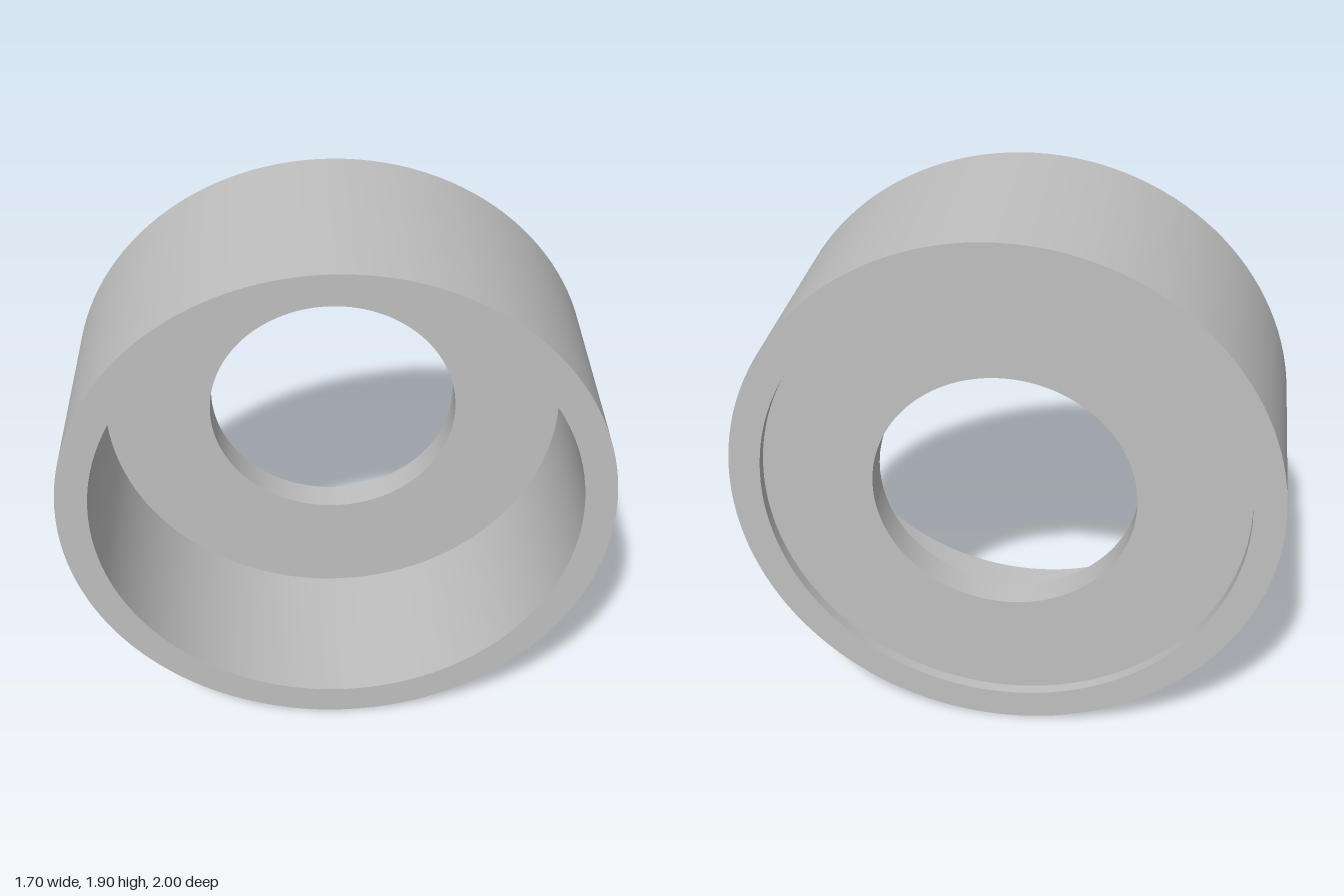
import * as THREE from 'three';
import { toCreasedNormals } from 'three/addons/utils/BufferGeometryUtils.js';

export function createModel() {
  const group = new THREE.Group();
  group.name = 'flangedRing';
  const grey = new THREE.MeshStandardMaterial({ color: 0xc0c0c0 });
  grey.name = 'plain grey';

  const outer = 0.95, inner = 0.84, bore = 0.455;
  const half = 0.381;                      // half the width along the axis
  const webFront = -0.228, webBack = -0.341;

  // Closed cross-section: outer wall, front rim, deep recess, web with bore, shallow back recess
  const profile = [
    [outer, -half], [outer, half],
    [inner, half], [inner, webFront],
    [bore, webFront], [bore, webBack],
    [inner, webBack], [inner, -half],
    [outer, -half],
  ].map(([r, y]) => new THREE.Vector2(r, y));

  const geometry = toCreasedNormals(new THREE.LatheGeometry(profile, 128), 0.6);
  geometry.rotateZ(-Math.PI / 2);          // axis to +x
  geometry.rotateY(-0.598);                // swing the open side towards the front left
  geometry.translate(0, outer, 0);

  const ring = new THREE.Mesh(geometry, grey);
  ring.name = 'ringBody';
  group.add(ring);
  return group;
}
